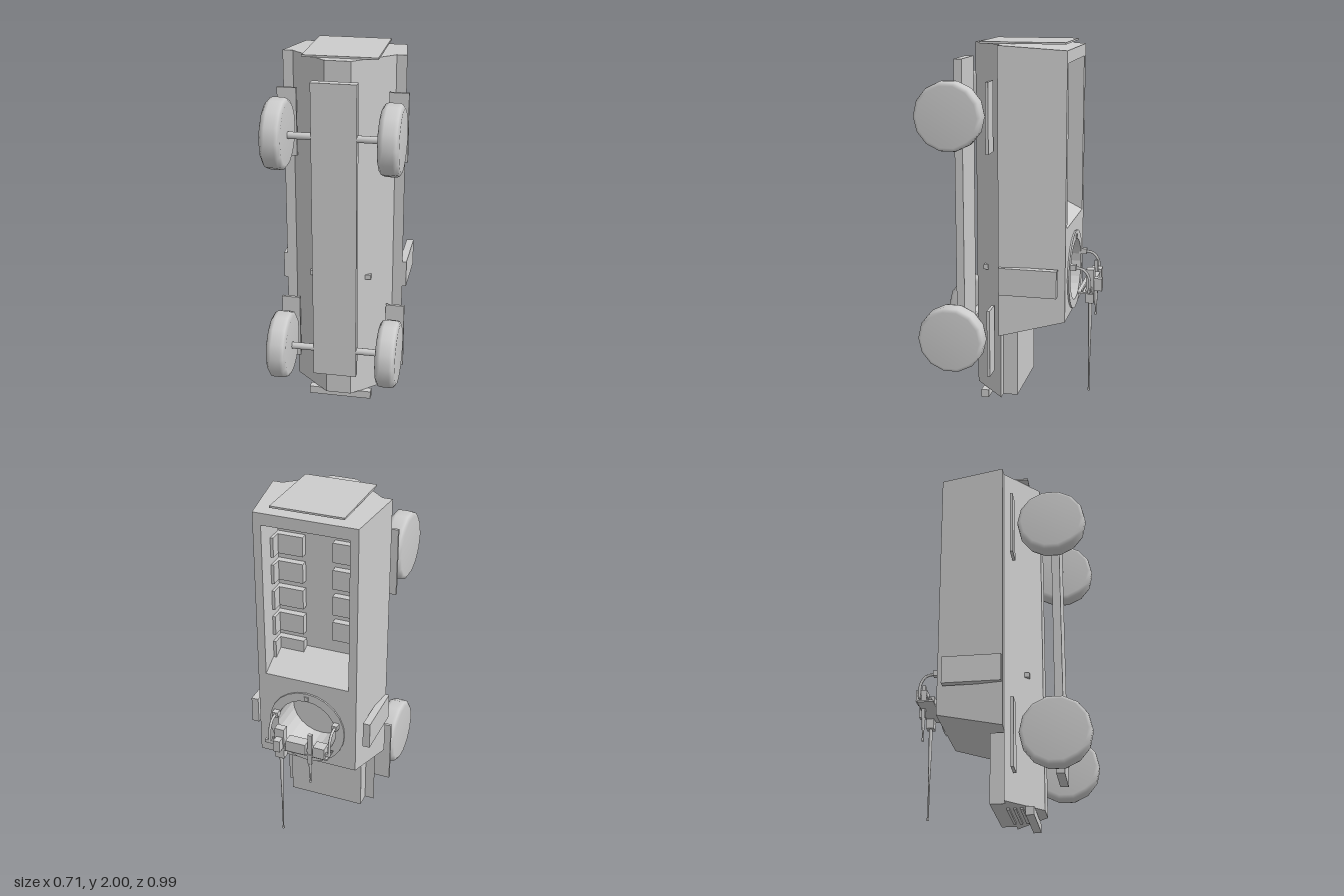
import * as THREE from 'three';

const grey = new THREE.MeshStandardMaterial({ color: 0xcccccc, side: THREE.DoubleSide });
grey.name = 'plain grey';

export function createModel() {
  const model = new THREE.Group();
  model.name = 'armouredTruck';

  function add(name, geometry, parent = model) {
    const mesh = new THREE.Mesh(geometry, grey);
    mesh.name = name;
    parent.add(mesh);
    return mesh;
  }
  // Box given by its limits on each axis
  function box(name, x0, x1, y0, y1, z0, z1, parent) {
    const g = new THREE.BoxGeometry(x1 - x0, y1 - y0, z1 - z0);
    g.translate((x0 + x1) / 2, (y0 + y1) / 2, (z0 + z1) / 2);
    return add(name, g, parent);
  }
  // Flat-sided loft from loop a to loop b, closed at b
  function loft(a, b) {
    const p = [];
    const n = a.length;
    for (let i = 0; i < n; i++) {
      const j = (i + 1) % n;
      p.push(...a[i], ...a[j], ...b[j], ...a[i], ...b[j], ...b[i]);
      if (i > 0 && i < n - 1) p.push(...b[0], ...b[i], ...b[i + 1]);
    }
    const g = new THREE.BufferGeometry();
    g.setAttribute('position', new THREE.Float32BufferAttribute(p, 3));
    g.computeVertexNormals();
    return g;
  }
  const rect = (x, y0, y1, z) => [[-x, y0, z], [x, y0, z], [x, y1, z], [-x, y1, z]];
  const circle = (r, y, z, n = 24) => Array.from({ length: n }, (_, i) => {
    const t = -i / n * Math.PI * 2;
    return [r * Math.cos(t), y + r * Math.sin(t), z];
  });
  const holePath = (loop) => new THREE.Path(loop.map(([x, y]) => new THREE.Vector2(x, y)));

  // Upper hull: tapered shell, with a roof cut open for the bay and the turret well
  const ringY = 0.74;
  add('upperHull', loft(rect(0.283, 0.52, 1.965, -0.32), rect(0.33, 0.43, 1.99, 0.035)));
  const roof = new THREE.Shape(rect(0.283, 0.52, 1.965, 0).map(([x, y]) => new THREE.Vector2(x, y)));
  roof.holes.push(holePath(rect(0.238, 1.03, 1.9, 0)), holePath(circle(0.17, ringY, 0)));
  const roofGeometry = new THREE.ShapeGeometry(roof);
  roofGeometry.rotateY(Math.PI);
  roofGeometry.translate(0, 0, -0.32);
  add('roof', roofGeometry);
  add('crewBay', loft(rect(0.238, 1.03, 1.9, -0.32).reverse(), rect(0.238, 1.13, 1.84, -0.12).reverse()));
  add('turretWell', loft(circle(0.17, ringY, -0.32), circle(0.17, ringY, -0.12)));

  // Lower hull: V-shaped belly running the whole length
  const belly = new THREE.Shape();
  belly.moveTo(-0.275, -0.035);
  belly.lineTo(-0.07, -0.22);
  belly.lineTo(0.07, -0.22);
  belly.lineTo(0.275, -0.035);
  belly.closePath();
  const bellyGeometry = new THREE.ExtrudeGeometry(belly, { depth: 1.94, bevelEnabled: false });
  bellyGeometry.rotateX(-Math.PI / 2);
  bellyGeometry.translate(0, 0.05, 0);
  add('bellyHull', bellyGeometry);

  box('bonnet', -0.22, 0.22, 0.05, 0.43, -0.045, 0.035);
  box('bumper', -0.178, 0.178, 0, 0.045, 0.132, 0.175);
  for (const z of [0.03, 0.065, 0.1]) box('grilleSlat', -0.14, 0.14, 0.04, 0.055, z, z + 0.015);
  box('rearDoor', -0.2, 0.2, 1.99, 2, -0.295, 0.165);
  box('chassisBeam', -0.12, 0.12, 0.23, 1.9, 0.285, 0.33);

  // Wheels, axles and mudguards
  const tyre = [[0, -0.055], [0.165, -0.055], [0.184, -0.042], [0.188, -0.025],
    [0.188, 0.025], [0.184, 0.042], [0.165, 0.055], [0, 0.055]];
  const wheelGeometry = new THREE.LatheGeometry(tyre.map(([r, h]) => new THREE.Vector2(r, h)), 14);
  wheelGeometry.rotateZ(Math.PI / 2);
  for (const y of [0.387, 1.617]) {
    const axle = add('axle', new THREE.CylinderGeometry(0.019, 0.019, 0.52, 12));
    axle.rotation.z = Math.PI / 2;
    axle.position.set(0, y - 0.005, 0.305);
    for (const s of [-1, 1]) {
      add('wheel', wheelGeometry).position.set(s * 0.3, y, 0.305);
      const guard = box('mudguard', -0.052, 0.052, -0.188, 0.188, 0.079, 0.095);
      guard.position.set(s * 0.3, y, 0);
    }
  }

  // Side lockers and pegs
  for (const s of [-1, 1]) {
    const locker = box('sideLocker', -0.02, 0.02, 0.67, 0.82, -0.285, 0.03);
    locker.position.x = s * 0.331;
    const peg = box('sidePeg', -0.02, 0.02, 0.755, 0.782, 0.132, 0.158);
    peg.position.x = s * 0.15;
  }

  // Bench seats along both walls of the bay
  for (const s of [-1, 1]) {
    for (let i = 0; i < (s > 0 ? 5 : 4); i++) {
      const seat = new THREE.Group();
      seat.name = 'seat';
      box('cushion', -0.07, 0.07, -0.055, 0.055, -0.03, 0.01, seat);
      box('backrest', s * 0.075 - 0.008, s * 0.075 + 0.008, -0.055, 0.055, -0.09, 0.01, seat);
      seat.position.set(s * 0.153, 1.735 - i * 0.153, -0.13);
      model.add(seat);
    }
  }

  // Turret ring on the roof
  const ring = new THREE.Shape().absarc(0, 0, 0.22, 0, Math.PI * 2);
  ring.holes.push(new THREE.Path().absarc(0, 0, 0.17, 0, Math.PI * 2, true));
  const ringGeometry = new THREE.ExtrudeGeometry(ring, { depth: 0.009, bevelEnabled: false, curveSegments: 12 });
  add('turretRing', ringGeometry).position.set(0, ringY, -0.329);
  box('ringCatch', -0.012, 0.012, 0.915, 0.94, -0.335, -0.32);

  // Gun cradle: curved arms, cross bars, tray and ammunition boxes
  for (const s of [-1, 1]) {
    box('armMount', s * 0.175 - 0.016, s * 0.175 + 0.016, 0.785, 0.815, -0.362, -0.32);
    const curve = new THREE.CatmullRomCurve3([[0.8, -0.35], [0.79, -0.4], [0.75, -0.43], [0.67, -0.437]]
      .map(([y, z]) => new THREE.Vector3(s * 0.175, y, z)));
    add('cradleArm', new THREE.TubeGeometry(curve, 10, 0.008, 6));
  }
  box('upperBar', -0.18, 0.2, 0.665, 0.685, -0.442, -0.428);
  box('lowerBar', -0.18, 0.18, 0.665, 0.675, -0.398, -0.39);
  box('tray', -0.17, 0.15, 0.645, 0.655, -0.45, -0.362);
  box('ammoBox', -0.155, -0.09, 0.655, 0.72, -0.46, -0.4);
  box('ammoBox', -0.045, 0.07, 0.655, 0.72, -0.46, -0.4);

  // Two guns pointing forward: a heavy one and a light one
  function gun(name, x, muzzle, z, w) {
    const g = new THREE.Group();
    g.name = name;
    box('receiver', x - w, x + w, 0.59, 0.78, z - w * 0.8, z + w * 0.8, g);
    const length = 0.59 - muzzle;
    const sleeve = add('barrelSleeve', new THREE.CylinderGeometry(0.011, 0.007, length * 0.5, 8), g);
    sleeve.position.set(x, 0.59 - length * 0.25, z);
    const barrel = add('barrel', new THREE.CylinderGeometry(0.006, 0.004, length * 0.5, 8), g);
    barrel.position.set(x, muzzle + length * 0.25, z);
    const brake = add('muzzle', new THREE.CylinderGeometry(0.007, 0.007, 0.015, 8), g);
    brake.position.set(x, muzzle + 0.008, z);
    model.add(g);
  }
  gun('heavyGun', 0.11, 0.07, -0.43, 0.027);
  gun('lightGun', -0.065, 0.46, -0.435, 0.012);
  box('gunFeedBox', 0.09, 0.127, 0.66, 0.73, -0.495, -0.45);

  return model;
}
